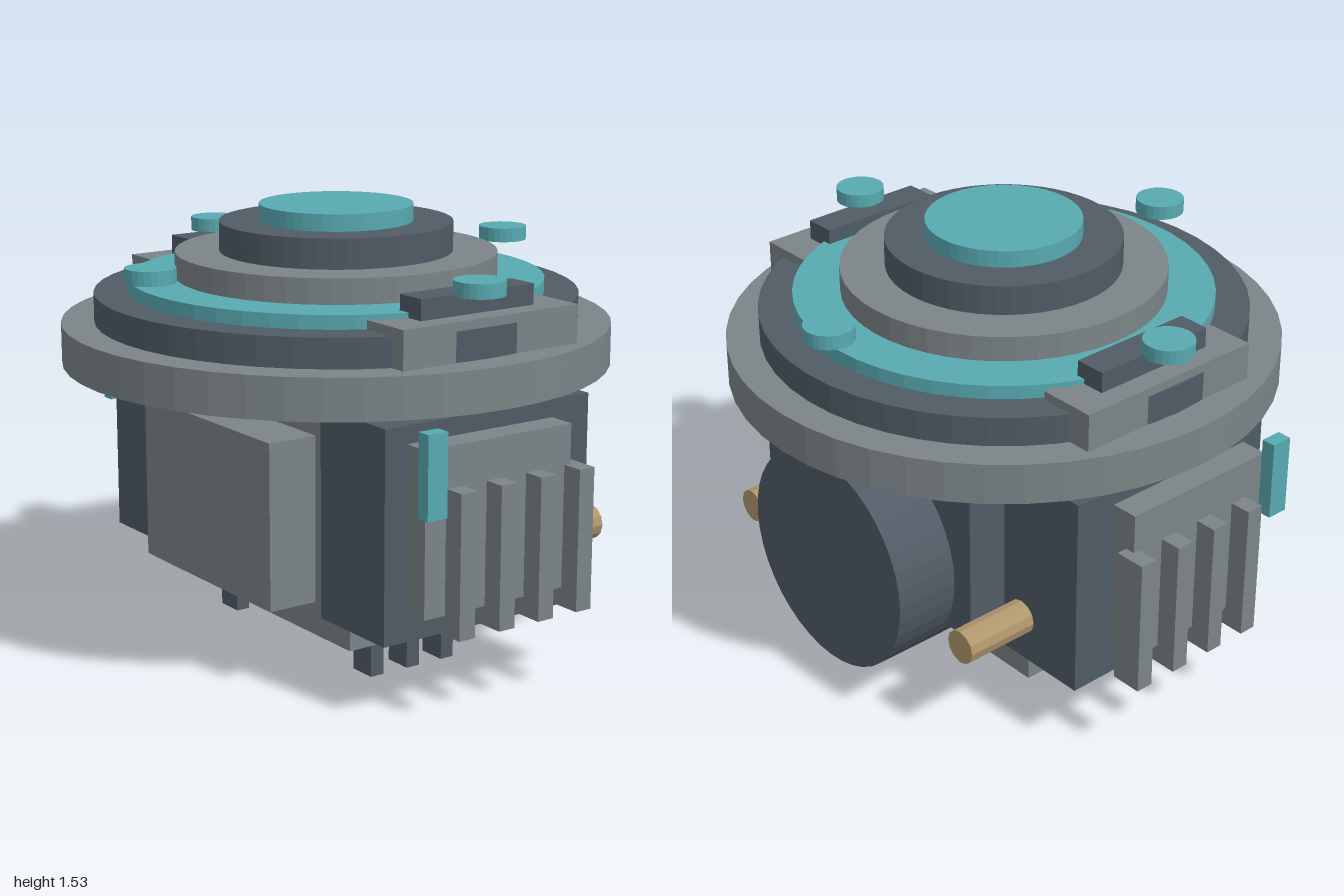
import * as THREE from 'three';

export function createModel() {
  const model = new THREE.Group();
  model.name = 'machine';

  const material = (name, color) => {
    const m = new THREE.MeshStandardMaterial({ color });
    m.name = name;
    return m;
  };
  const grey = material('steel grey', 0x7b8487);
  const dark = material('dark slate', 0x505b65);
  const teal = material('teal', 0x57a9b0);
  const brass = material('brass', 0xb0966c);

  const add = (name, geometry, mat) => {
    const mesh = new THREE.Mesh(geometry, mat);
    mesh.name = name;
    model.add(mesh);
    return mesh;
  };

  // Box given by its lower and upper limits on each axis
  const box = (name, mat, [x0, x1], [y0, y1], [z0, z1]) => {
    const g = new THREE.BoxGeometry(x1 - x0, y1 - y0, z1 - z0);
    g.translate((x0 + x1) / 2, (y0 + y1) / 2, (z0 + z1) / 2);
    return add(name, g, mat);
  };

  // The same box on both sides of the model
  const boxPair = (name, mat, [x0, x1], y, z) => {
    box(name + 'Left', mat, [x0, x1], y, z);
    box(name + 'Right', mat, [-x1, -x0], y, z);
  };

  // Faceted cylinder with flat normals
  const facetedCylinder = (radius, length, sides) => {
    const g = new THREE.CylinderGeometry(radius, radius, length, sides).toNonIndexed();
    g.computeVertexNormals();
    return g;
  };
  const disc = (name, mat, radius, y0, y1, x = 0, z = 0, sides = 48) =>
    add(name, facetedCylinder(radius, y1 - y0, sides).translate(x, (y0 + y1) / 2, z), mat);
  const rod = (name, mat, radius, x, y, z0, z1, sides) =>
    add(name, facetedCylinder(radius, z1 - z0, sides)
      .rotateX(Math.PI / 2).translate(x, y, (z0 + z1) / 2), mat);

  // Main housing, front panel and side blocks
  box('housing', grey, [-0.585, 0.585], [0.165, 0.99], [-0.405, 0.36]);
  box('frontPanel', grey, [-0.39, 0.39], [0.28, 0.85], [0.3, 0.54]);
  boxPair('sideBlock', dark, [0.485, 0.83], [0.26, 0.97], [-0.425, 0.405]);

  // Rear plate, drum and connector rods
  box('rearPlate', dark, [-0.47, 0.47], [0.33, 0.88], [-0.56, -0.38]);
  rod('rearDrum', dark, 0.39, 0, 0.52, -0.79, -0.4, 40);
  for (const s of [-1, 1]) rod('connectorRod', brass, 0.06, s * 0.57, 0.42, -0.69, -0.38, 12);

  // Side plates, cooling fins and indicator tabs
  boxPair('sidePlate', grey, [0.8, 0.925], [0.36, 0.91], [-0.27, 0.32]);
  for (let i = 0; i < 4; i++) {
    const z = 0.207 - i * 0.161;
    boxPair('coolingFin', grey, [0.89, 1], [0.295, 0.775], [z - 0.031, z + 0.031]);
  }
  boxPair('indicatorTab', teal, [0.943, 0.993], [0.705, 0.98], [0.287, 0.363]);

  // Pins under the housing
  for (const z of [0.16, 0.01, -0.137])
    boxPair('footPin', dark, [0.363, 0.465], [0, 0.2], [z - 0.026, z + 0.026]);

  // Short spacers between housing and turret
  for (const x of [-0.54, 0.54])
    for (const z of [-0.2, 0.21]) disc('spacer', grey, 0.05, 0.95, 1.02, x, z, 16);

  // Stepped turret: colour, radius, bottom, top
  [
    ['turretBase', grey, 0.943, 1.0, 1.14],
    ['lowerStep', dark, 0.83, 1.14, 1.24],
    ['glowRing', teal, 0.713, 1.24, 1.287],
    ['middleStep', grey, 0.552, 1.287, 1.373],
    ['upperStep', dark, 0.4, 1.373, 1.475],
    ['topCap', teal, 0.264, 1.475, 1.533],
  ].forEach((step) => disc(...step));

  // Brackets with rails at the sides of the turret
  boxPair('bracket', grey, [0.62, 0.82], [1.14, 1.27], [-0.378, 0.33]);
  boxPair('bracketRail', dark, [0.635, 0.745], [1.26, 1.34], [-0.253, 0.205]);

  // Four hovering buttons around the turret
  for (const [x, z] of [[0.78, 0], [-0.78, 0], [0, 0.737], [0, -0.737]])
    disc('button', teal, 0.085, 1.337, 1.386, x, z, 24);

  return model;
}
